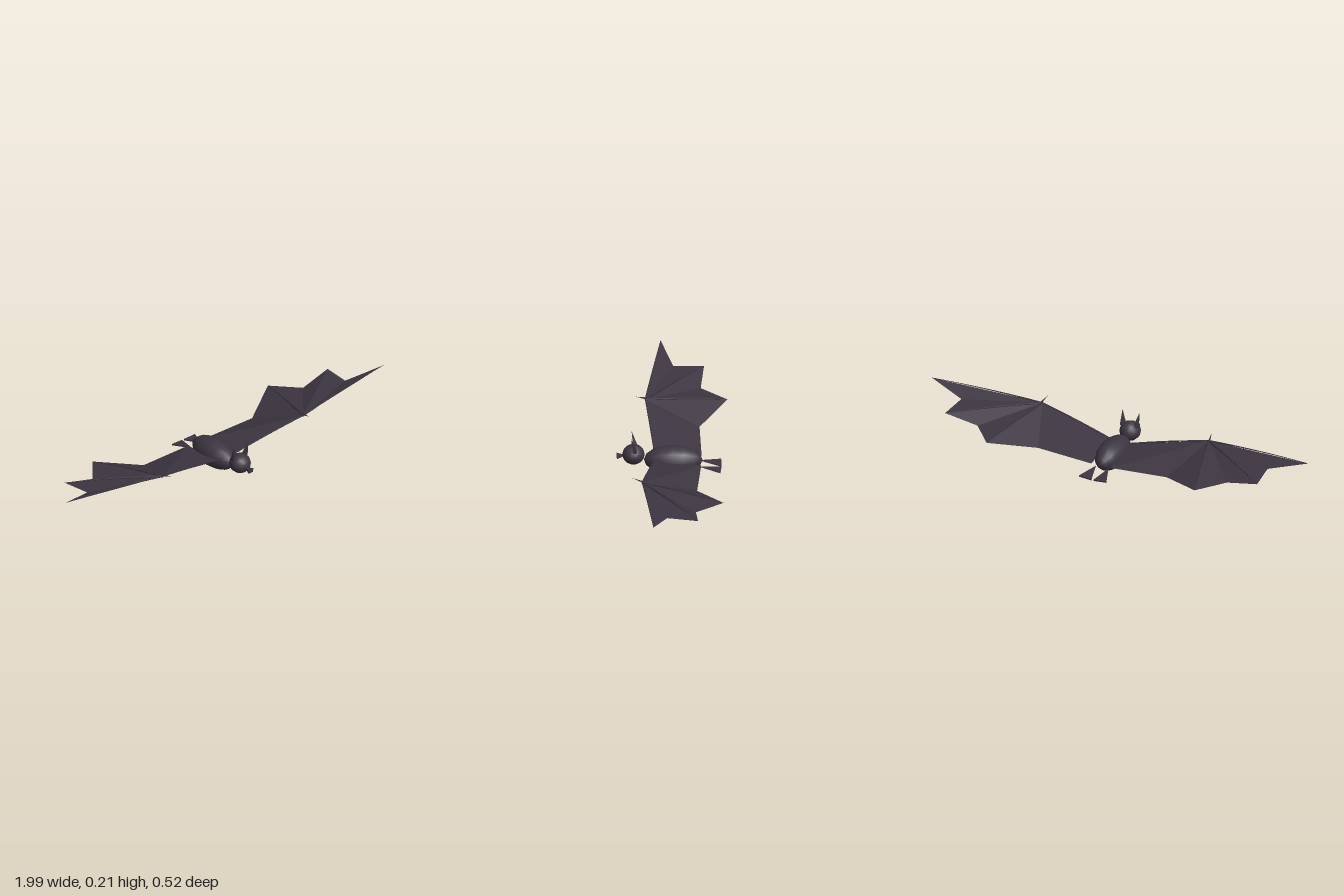
import * as THREE from 'three';

const fur = new THREE.MeshStandardMaterial({ color: 0x3d3642, side: THREE.DoubleSide });
fur.name = 'dark fur';

const V = (p) => new THREE.Vector3(...p);

function add(parent, name, geometry) {
  const mesh = new THREE.Mesh(geometry, fur);
  mesh.name = name;
  parent.add(mesh);
  return mesh;
}

// Ellipsoid with its poles along z
function ellipsoid(rx, ry, rz, around, rings) {
  const g = new THREE.SphereGeometry(1, around, rings);
  g.rotateX(Math.PI / 2);
  g.scale(rx, ry, rz);
  return g;
}

// Faceted cone from the centre of its base to its tip, flattened by sx and sz
function spike(base, tip, sx, sz, sides = 4) {
  const a = V(base), b = V(tip);
  const g = new THREE.ConeGeometry(1, a.distanceTo(b), sides).toNonIndexed();
  g.rotateY(Math.PI / sides);
  g.scale(sx, 1, sz);
  g.computeVertexNormals();
  const q = new THREE.Quaternion().setFromUnitVectors(new THREE.Vector3(0, 1, 0), b.clone().sub(a).normalize());
  g.applyQuaternion(q);
  const m = a.add(b).multiplyScalar(0.5);
  return g.translate(m.x, m.y, m.z);
}

// Bowed finger bone that tapers towards its far end
function bone(from, to, r0, r1, lift) {
  const a = V(from), b = V(to);
  const mid = a.clone().lerp(b, 0.5);
  mid.y += lift;
  const curve = new THREE.QuadraticBezierCurve3(a, mid, b);
  const steps = 6, sides = 5;
  const g = new THREE.TubeGeometry(curve, steps, 1, sides);
  const pos = g.attributes.position, p = new THREE.Vector3();
  for (let i = 0; i < pos.count; i++) {
    const t = Math.floor(i / (sides + 1)) / steps;
    const c = curve.getPointAt(t);
    p.fromBufferAttribute(pos, i).sub(c).multiplyScalar(r0 + (r1 - r0) * t).add(c);
    pos.setXYZ(i, p.x, p.y, p.z);
  }
  return g;
}

// Wing skin: a fan of flat panels spread from the wrist
const wrist = [0.44, 0.17, 0.13];
const tip = [0.995, 0.207, 0.067];
const finger1 = [0.825, 0.158, -0.143];
const finger2 = [0.55, 0.118, -0.26];
const rootFront = [0.05, 0.087, 0.08];
const rim = [
  tip, [0.81, 0.165, 0.005], finger1, [0.66, 0.122, -0.13], finger2,
  [0.34, 0.076, -0.13], [0.05, 0.066, -0.145], rootFront,
];

function wing(side) {
  const g = new THREE.Group();
  const m = (p) => [p[0] * side, p[1], p[2]];
  const verts = [];
  for (let i = 0; i < rim.length - 1; i++) {
    const pair = side > 0 ? [rim[i + 1], rim[i]] : [rim[i], rim[i + 1]];
    verts.push(...m(wrist), ...m(pair[1]), ...m(pair[0]));
  }
  // Panels face upwards on both sides
  const skin = new THREE.BufferGeometry();
  for (let i = 0; i < verts.length; i += 9) {
    const [a, b, c] = [0, 3, 6].map((k) => V(verts.slice(i + k, i + k + 3)));
    if (b.clone().sub(a).cross(c.clone().sub(a)).y < 0) {
      verts.splice(i + 3, 6, ...c.toArray(), ...b.toArray());
    }
  }
  skin.setAttribute('position', new THREE.Float32BufferAttribute(verts, 3));
  skin.computeVertexNormals();
  add(g, 'wingSkin', skin);

  add(g, 'armBone', bone(m(rootFront), m(wrist), 0.004, 0.003, 0.008));
  add(g, 'leadingFinger', bone(m(wrist), m(tip), 0.004, 0.001, 0.012));
  add(g, 'middleFinger', bone(m(wrist), m(finger1), 0.006, 0.001, 0.012));
  add(g, 'innerFinger', bone(m(wrist), m(finger2), 0.006, 0.001, 0.012));
  add(g, 'thumbClaw', spike(m([0.445, 0.173, 0.125]), m([0.433, 0.188, 0.178]), 0.005, 0.005));
  g.name = side > 0 ? 'leftWing' : 'rightWing';
  return g;
}

export function createModel() {
  const bat = new THREE.Group();
  bat.name = 'bat';

  add(bat, 'body', ellipsoid(0.07, 0.07, 0.14, 16, 8)).position.set(0, 0.071, -0.01);
  add(bat, 'head', ellipsoid(0.052, 0.049, 0.053, 12, 10)).position.set(0, 0.098, 0.18);

  // Snout flares forwards to a blunt nose
  add(bat, 'snout', spike([0, 0.088, 0.26], [0, 0.093, 0.215], 0.021, 0.015));

  for (const s of [1, -1]) {
    const name = s > 0 ? 'left' : 'right';
    add(bat, name + 'Ear', spike([s * 0.033, 0.125, 0.172], [s * 0.045, 0.2, 0.19], 0.019, 0.014));
    // Feet widen backwards
    add(bat, name + 'Foot', spike([s * 0.039, 0.037, -0.239], [s * 0.033, 0.052, -0.13], 0.047, 0.005));
    bat.add(wing(s));
  }
  return bat;
}
